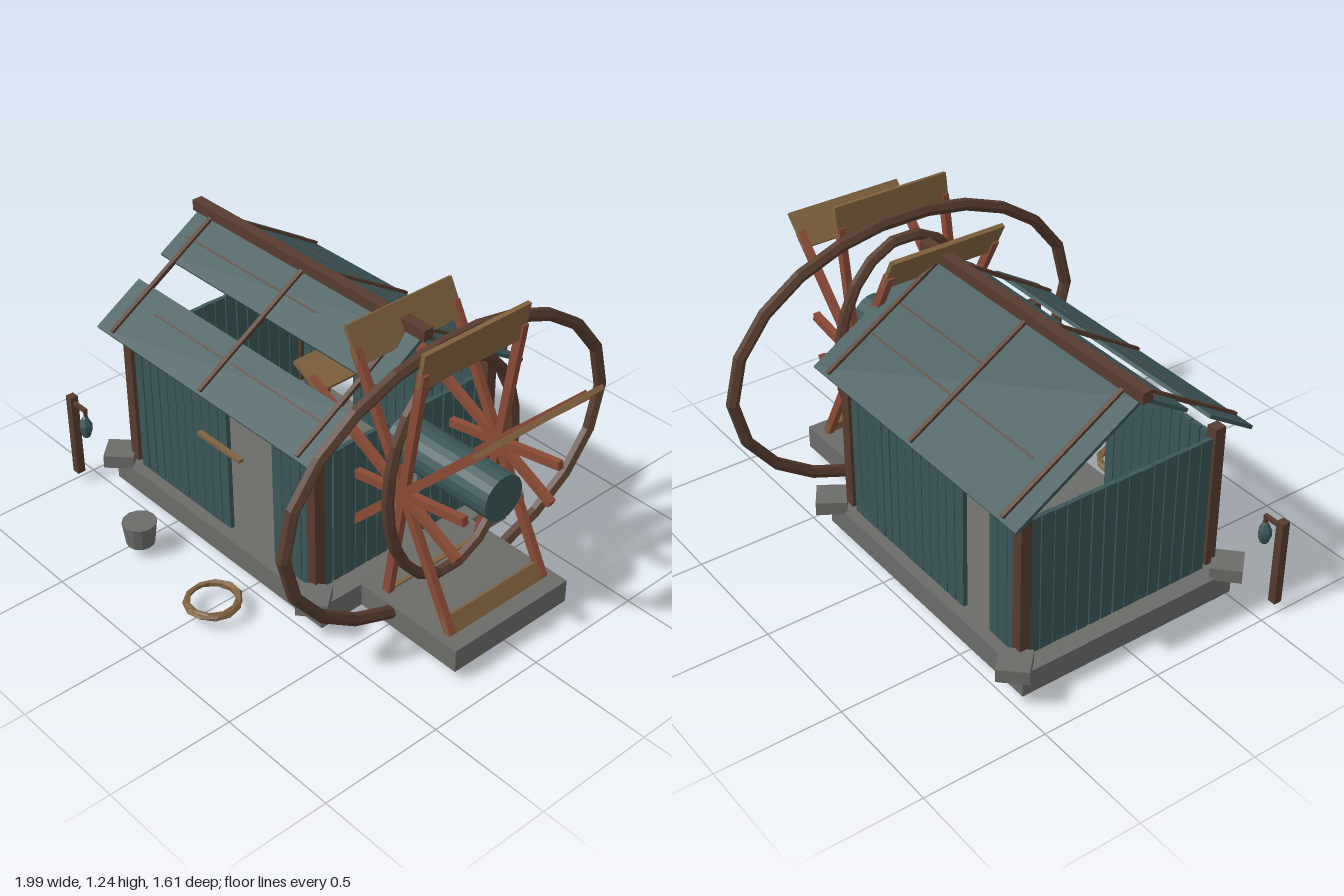
import * as THREE from 'three';

const paint = (name, color) => {
  const m = new THREE.MeshStandardMaterial({ color });
  m.name = name;
  m.flatShading = true;
  return m;
};

export function createModel() {
  const model = new THREE.Group();
  model.name = 'ruinedWatermill';
  const teal = paint('weatheredTeal', 0x3b5658);
  const stone = paint('greyStone', 0x6b6b68);
  const brown = paint('darkTimber', 0x573c2d);
  const red = paint('redTimber', 0x8a4a36);
  const tan = paint('tanWood', 0x80623e);

  const add = (name, geo, mat, x, y, z, parent = model) => {
    const mesh = new THREE.Mesh(geo, mat);
    mesh.name = name;
    mesh.position.set(x, y, z);
    parent.add(mesh);
    return mesh;
  };
  const box = (name, w, h, d, mat, x, y, z, parent) =>
    add(name, new THREE.BoxGeometry(w, h, d), mat, x, y, z, parent);
  let seed = 7;
  const rand = () => (seed = (seed * 16807) % 2147483647) / 2147483647;

  // Foundation and wheel platform
  box('foundation', 1.235, 0.097, 0.96, stone, -0.228, 0.108, 0);
  box('wheelPlatform', 0.486, 0.096, 0.57, stone, 0.632, 0.108, 0);

  // Corner stones, each turned a little differently
  [[-0.805, -0.485, 0.8], [-0.83, 0.47, 0.76], [0.372, -0.485, 0.98], [0.355, 0.485, 0.7]]
    .forEach(([x, z, turn]) => {
      box('cornerStone', 0.12, 0.055, 0.12, stone, x, 0.174, z).rotation.y = turn;
    });

  // Corner posts
  for (const x of [-0.763, 0.3])
    for (const z of [-0.425, 0.425]) box('cornerPost', 0.046, 0.6, 0.046, brown, x, 0.48, z);

  // Plank walls; planks whose centre falls in the opening are missing
  const wall = (name, from, to, count, open, place) => {
    const group = new THREE.Group();
    group.name = name;
    const pitch = (to - from) / count;
    for (let i = 0; i < count; i++) {
      const c = from + (i + 0.5) * pitch;
      const w = pitch * (0.84 + 0.14 * rand());
      if (open && c > open[0] && c < open[1]) continue;
      const plank = box('plank', w, 0.575 + 0.008 * rand(), 0.018, teal, c, 0.446, 0, group);
      plank.rotation.z = (rand() - 0.5) * 0.008;
    }
    place(group);
    model.add(group);
  };
  wall('frontWall', -0.74, 0.28, 20, [-0.17, 0.08], g => { g.position.z = 0.425; });
  wall('backWall', -0.74, 0.28, 20, [-0.59, -0.44], g => { g.position.z = -0.425; });
  wall('leftWall', -0.405, 0.405, 15, [-0.09, 0.1], g => {
    g.position.x = 0.3;
    g.rotation.y = -Math.PI / 2;
  });
  wall('rightWall', -0.405, 0.405, 15, null, g => {
    g.position.x = -0.763;
    g.rotation.y = -Math.PI / 2;
  });
  box('doorBar', 0.245, 0.014, 0.022, tan, -0.208, 0.532, 0.447);

  // Roof: boxes laid on the slope between two distances from the ridge
  const SLOPE = 0.62, pitchAngle = Math.atan(SLOPE);
  const onRoof = (name, side, x, width, z1, z2, thick, lift, mat) => {
    const zm = (z1 + z2) / 2;
    const part = box(name, width, thick, (z2 - z1) / Math.cos(pitchAngle), mat,
      x, 1.1 - SLOPE * zm + lift, side * zm);
    part.rotation.x = side * pitchAngle;
  };
  onRoof('backRoof', -1, -0.228, 1.236, 0, 0.515, 0.014, 0, teal);
  onRoof('frontRoofUpper', 1, -0.228, 1.236, 0, 0.2, 0.014, 0, teal);
  onRoof('frontRoofLower', 1, -0.228, 1.236, 0.308, 0.515, 0.014, 0, teal);
  for (const x of [-0.762, -0.23, 0.304])
    for (const side of [-1, 1]) onRoof('roofBatten', side, x, 0.018, 0, 0.51, 0.016, 0.012, brown);
  [[1, 0.105, -0.43, 0.75], [1, 0.38, -0.18, 0.95], [-1, 0.32, -0.19, 0.98], [-1, 0.19, 0.04, 0.5]]
    .forEach(([side, z, x, w]) => onRoof('roofSeam', side, x, w, z, z + 0.006, 0.004, 0.008, brown));
  box('ridgeBeam', 1.28, 0.044, 0.044, brown, -0.228, 1.12, 0);

  // Wheel: ten pairs of spokes, three of them broken short, the others with paddles
  const wheel = new THREE.Group();
  wheel.name = 'waterWheel';
  wheel.position.set(0.548, 0.635, 0);
  model.add(wheel);
  const drum = add('axleDrum', new THREE.CylinderGeometry(0.092, 0.092, 0.5, 20), teal, 0, 0, 0, wheel);
  drum.rotation.z = Math.PI / 2;
  const broken = [0, 5, 9];
  for (let i = 0; i < 10; i++) {
    const arm = new THREE.Group();
    arm.name = 'wheelArm';
    arm.rotation.z = THREE.MathUtils.degToRad(9.6 + 36 * i);
    wheel.add(arm);
    const length = broken.includes(i) ? 0.3 : 0.54;
    for (const z of [-0.235, 0.235]) box('spoke', length, 0.034, 0.027, red, length / 2, 0, z, arm);
    if (length > 0.5) box('paddle', 0.15, 0.018, 0.5, tan, 0.55, 0, 0, arm);
  }

  // Oval hoops standing across the axle
  const hoop = (name, rz, ry, r) => {
    const points = [];
    for (let i = 0; i < 22; i++) {
      const a = (i / 22) * Math.PI * 2;
      points.push(new THREE.Vector3(0, ry * Math.sin(a), rz * Math.cos(a)));
    }
    const curve = new THREE.CatmullRomCurve3(points, true);
    add(name, new THREE.TubeGeometry(curve, 22, r, 6, true), brown, 0, 0, 0, wheel);
  };
  hoop('outerHoop', 0.782, 0.545, 0.025);
  hoop('innerHoop', 0.312, 0.46, 0.023);

  // Lamp post with hanging lantern
  box('lampPost', 0.034, 0.365, 0.034, brown, -0.983, 0.243, 0.577);
  box('lampArm', 0.075, 0.014, 0.016, brown, -0.93, 0.398, 0.577);
  box('lampHook', 0.012, 0.035, 0.012, brown, -0.897, 0.385, 0.577);
  const lanternProfile = [[0, 0], [0.016, 0.004], [0.026, 0.035], [0.026, 0.06], [0.012, 0.09], [0, 0.1]]
    .map(([x, y]) => new THREE.Vector2(x, y));
  add('lantern', new THREE.LatheGeometry(lanternProfile, 7), teal, -0.897, 0.275, 0.58);

  // Bucket
  add('bucket', new THREE.CylinderGeometry(0.068, 0.056, 0.098, 12), stone, -0.45, 0.109, 0.665);

  // Rope coil made of loose overlapping loops
  [[0.1, 0.068, 0], [0.093, 0.08, 0.25], [0.104, 0.076, 0.5]].forEach(([r, y, turn], i) => {
    const rope = add('ropeLoop', new THREE.TorusGeometry(r, 0.009, 5, 11), tan, 0.018, y, 0.685);
    rope.rotation.set(Math.PI / 2 + (i - 1) * 0.05, 0.04 * (i - 1), turn);
  });

  return model;
}
